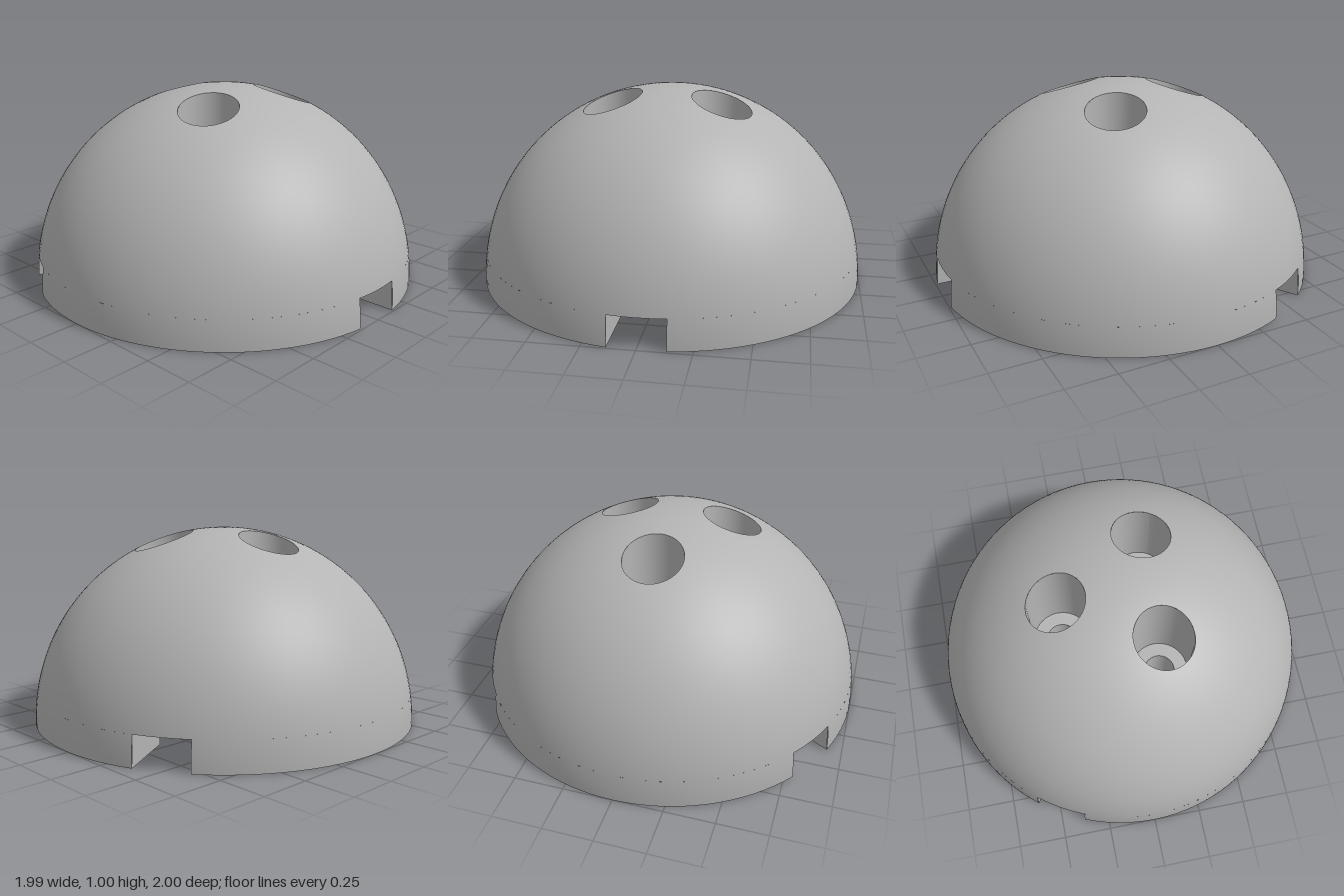
import * as THREE from 'three';

const BORE_DIST = 0.32, BORE_R = 0.15, HOLE_R = 0.08, BORE_FLOOR = 0.4;
const SLOT_H = 0.15, SLOT_W = 0.135, CROWN_R = 0.75;
const THIRD = (Math.PI * 2) / 3;

// Grid surface; its front faces along du x dv
function patch(f, nu, nv) {
  const pos = [], idx = [];
  for (let j = 0; j <= nv; j++)
    for (let i = 0; i <= nu; i++) pos.push(...f(i / nu, j / nv));
  for (let j = 0; j < nv; j++)
    for (let i = 0; i < nu; i++) {
      const a = j * (nu + 1) + i, d = a + nu + 1;
      idx.push(a, a + 1, d + 1, a, d + 1, d);
    }
  const g = new THREE.BufferGeometry();
  g.setAttribute('position', new THREE.Float32BufferAttribute(pos, 3));
  g.setIndex(idx);
  g.computeVertexNormals();
  return g;
}

// Unit-sphere normals for dome pieces
function spherical(g) {
  g.setAttribute('normal', g.attributes.position.clone());
  return g;
}

const domeY = (x, z) => Math.sqrt(Math.max(0, 1 - x * x - z * z));
const lerp = THREE.MathUtils.lerp;

// T-shaped slot outline along +x, as [x, z], ending on a rim of given radius
function slotOutline(rim) {
  const e = Math.sqrt(rim * rim - SLOT_W * SLOT_W);
  const half = [[e, SLOT_W], [0.64, SLOT_W], [0.64, 0.2], [0.46, 0.2]];
  return [...half.map(([x, z]) => [x, -z]), ...half.reverse()];
}

// Flat face from an x/z shape, facing down at height y
function downFace(shape, y) {
  return new THREE.ShapeGeometry(shape, 48).rotateX(Math.PI / 2).translate(0, y, 0);
}

export function createModel() {
  const group = new THREE.Group();
  const grey = new THREE.MeshStandardMaterial({ color: 0xb4b4b4 });
  grey.name = 'grey';
  const add = (name, geo, angle = 0) => {
    const m = new THREE.Mesh(geo, grey);
    m.name = name;
    m.rotation.y = -angle;
    group.add(m);
  };

  // Crown sector: lofted from the bore edge to the sector border, on the sphere
  const border = [];
  const polar = (r, a) => [r * Math.cos(a), r * Math.sin(a)];
  for (let i = 0; i < 16; i++) border.push(polar((CROWN_R * i) / 16, -THIRD / 2));
  for (let i = 0; i < 32; i++) border.push(polar(CROWN_R, (i / 32 - 0.5) * THIRD));
  for (let i = 16; i >= 0; i--) border.push(polar((CROWN_R * i) / 16, THIRD / 2));
  const crown = spherical(patch((u, v) => {
    const [bx, bz] = border[Math.round(u * (border.length - 1))];
    const a = Math.atan2(bz, bx - BORE_DIST);
    const x = lerp(BORE_DIST + BORE_R * Math.cos(a), bx, v);
    const z = lerp(BORE_R * Math.sin(a), bz, v);
    return [x, domeY(x, z), z];
  }, border.length - 1, 16));

  // Skirt sector between two slots
  const skirt = spherical(patch((u, v) => {
    const y = SLOT_H * (1 - v), r = Math.sqrt(1 - y * y);
    const a = (u * 2 - 1) * (THIRD / 2 - Math.asin(SLOT_W / r));
    return [r * Math.cos(a), y, r * Math.sin(a)];
  }, 32, 4));

  // Counterbore, its floor and the through hole
  const wall = (radius, bottom, top) => patch((u, v) => {
    const a = u * Math.PI * 2;
    const x = BORE_DIST + radius * Math.cos(a), z = radius * Math.sin(a);
    return [x, lerp(bottom, top(x, z), v), z];
  }, 48, 1);
  const counterbore = wall(BORE_R, BORE_FLOOR, domeY);
  const throughHole = wall(HOLE_R, 0, () => BORE_FLOOR);
  const boreFloor = new THREE.RingGeometry(HOLE_R, BORE_R, 48)
    .rotateX(-Math.PI / 2).translate(BORE_DIST, BORE_FLOOR, 0);

  // Slot walls and ceiling
  const rimTop = Math.sqrt(1 - SLOT_H * SLOT_H);
  const low = slotOutline(1), high = slotOutline(rimTop);
  const ceilingShape = new THREE.Shape();
  high.forEach(([x, z], i) => (i ? ceilingShape.lineTo(x, z) : ceilingShape.moveTo(x, z)));
  const rimAngle = Math.asin(SLOT_W / rimTop);
  ceilingShape.absarc(0, 0, rimTop, rimAngle, -rimAngle, true);
  const ceiling = downFace(ceilingShape, SLOT_H);
  const slotWalls = low.slice(1).map((_, i) => patch((u, v) => {
    const [x, z] = (v ? low : high)[i + u];
    return [x, SLOT_H * (1 - v), z];
  }, 1, 1));

  for (let k = 0; k < 3; k++) {
    const boreAngle = THIRD * (k + 0.5), slotAngle = THIRD * k;
    add('domeCrown', crown, boreAngle);
    add('domeSkirt', skirt, boreAngle);
    add('counterbore', counterbore, boreAngle);
    add('counterboreFloor', boreFloor, boreAngle);
    add('throughHole', throughHole, boreAngle);
    add('slotCeiling', ceiling, slotAngle);
    slotWalls.forEach((w) => add('slotWall', w, slotAngle));
  }

  // Middle band of the dome
  const t0 = Math.asin(CROWN_R), t1 = Math.acos(SLOT_H);
  add('domeBand', new THREE.SphereGeometry(1, 96, 16, 0, Math.PI * 2, t0, t1 - t0));

  // Underside with slots and holes cut out
  const base = new THREE.Shape();
  const edge = Math.asin(SLOT_W);
  for (let k = 0; k < 3; k++) {
    const a = THIRD * k, c = Math.cos(a), s = Math.sin(a);
    low.forEach(([x, z], i) => {
      const px = x * c - z * s, pz = x * s + z * c;
      if (k + i) base.lineTo(px, pz);
      else base.moveTo(px, pz);
    });
    base.absarc(0, 0, 1, a + edge, a + THIRD - edge, false);
    const h = THIRD * (k + 0.5);
    base.holes.push(new THREE.Path().absarc(
      BORE_DIST * Math.cos(h), BORE_DIST * Math.sin(h), HOLE_R, 0, Math.PI * 2, true));
  }
  add('underside', downFace(base, 0));

  return group;
}
